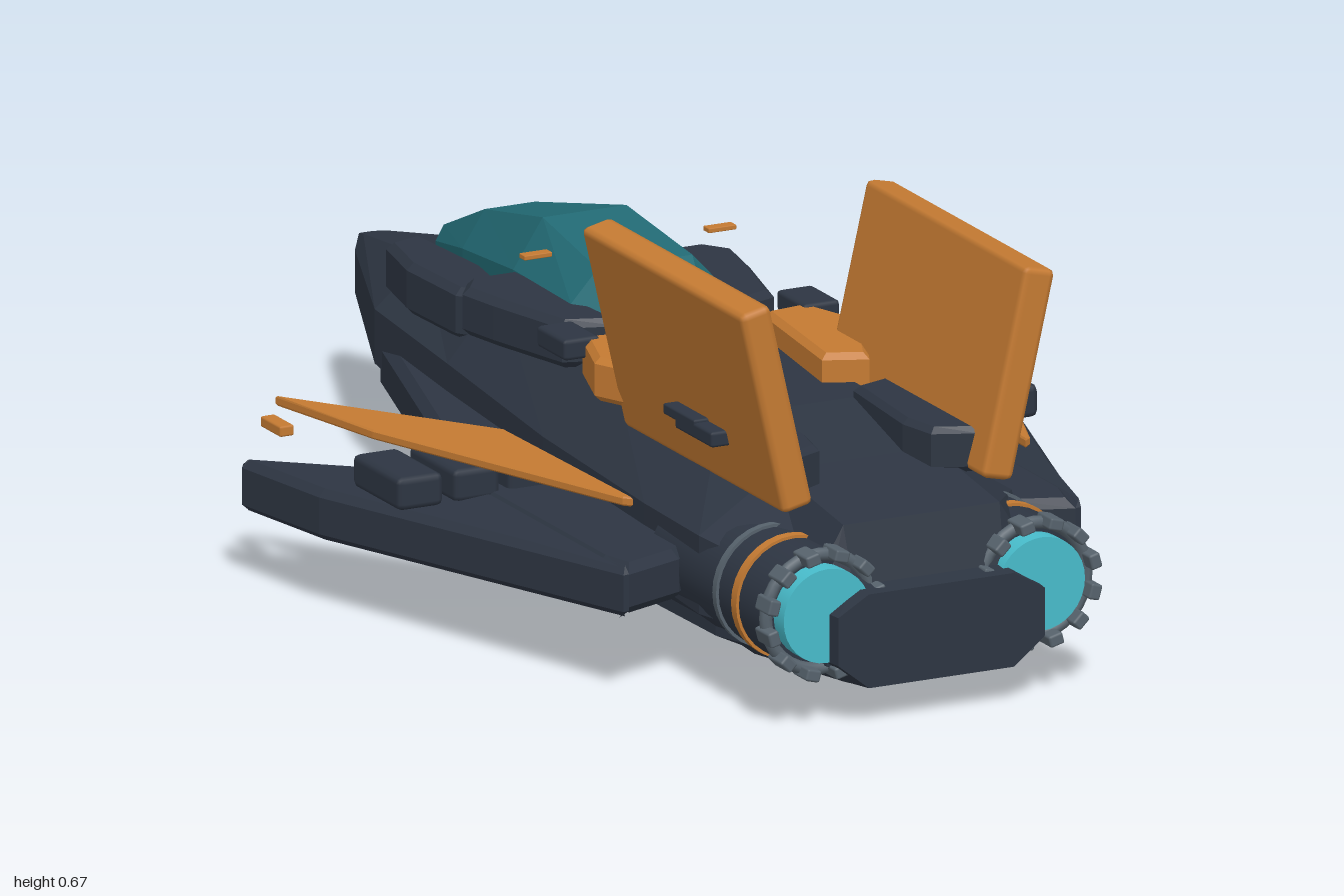
import * as THREE from 'three';
import { RoundedBoxGeometry } from 'three/addons/geometries/RoundedBoxGeometry.js';
import { toCreasedNormals } from 'three/addons/utils/BufferGeometryUtils.js';

const mat = (name, color) => Object.assign(new THREE.MeshStandardMaterial({ color }), { name });

// Loft of closed sections ([x, y] rings, same count) placed along z, flat faceted.
function loft(sections) {
  const pos = [];
  const tri = (a, b, c) => pos.push(...a, ...b, ...c);
  const rings = sections.map(({ z, ring }) => ring.map(([x, y]) => [x, y, z]));
  const n = rings[0].length;
  for (let i = 0; i < rings.length - 1; i++) {
    for (let j = 0; j < n; j++) {
      const k = (j + 1) % n, a = rings[i], b = rings[i + 1];
      tri(a[j], a[k], b[k]);
      tri(a[j], b[k], b[j]);
    }
  }
  const first = rings[0], last = rings[rings.length - 1];
  for (let j = 1; j < n - 1; j++) {
    tri(first[0], first[j + 1], first[j]);
    tri(last[0], last[j], last[j + 1]);
  }
  const g = new THREE.BufferGeometry();
  g.setAttribute('position', new THREE.Float32BufferAttribute(pos, 3));
  g.computeVertexNormals();
  return g;
}

// Eight-sided section, counter-clockwise seen from +z.
const octagon = (z, yb, yl, yh, yt, half, topHalf, botHalf) => ({
  z,
  ring: [[half, yl], [half, yh], [topHalf, yt], [-topHalf, yt],
    [-half, yh], [-half, yl], [-botHalf, yb], [botHalf, yb]],
});

// Flat plate from an [x, z] outline, bevelled, between heights y0 and y1.
function plate(points, y0, y1, bevel) {
  const shape = new THREE.Shape(points.map(([x, z]) => new THREE.Vector2(x, -z)));
  const g = new THREE.ExtrudeGeometry(shape, {
    depth: y1 - y0 - 2 * bevel, bevelEnabled: bevel > 0, bevelThickness: bevel,
    bevelSize: bevel, bevelOffset: -bevel, bevelSegments: 1,
  });
  return g.rotateX(-Math.PI / 2).translate(0, y0 + bevel, 0);
}

export function createModel() {
  const model = new THREE.Group();
  model.name = 'spacecraft';
  const hullMat = mat('dark hull', 0x2d3542);
  const orange = mat('orange panel', 0xc47a32);
  const glass = mat('teal canopy', 0x226a74);
  const glow = mat('cyan glow', 0x48bccb);
  const metal = mat('grey metal', 0x56626c);

  const add = (name, geo, material, parent = model) => {
    const m = new THREE.Mesh(geo, material);
    m.name = name;
    parent.add(m);
    return m;
  };
  const box = (name, size, at, material, parent = model) => {
    const r = Math.min(...size) * 0.2;
    const m = add(name, new RoundedBoxGeometry(...size, 1, r), material, parent);
    m.position.set(...at);
    return m;
  };

  // Main hull, from the pointed nose (-z) to the blunt stern
  add('upperHull', loft([
    octagon(-1, 0.17, 0.19, 0.25, 0.272, 0.018, 0.012, 0.012),
    octagon(-0.97, 0.165, 0.185, 0.255, 0.28, 0.035, 0.02, 0.02),
    octagon(-0.62, 0.12, 0.18, 0.27, 0.345, 0.18, 0.09, 0.1),
    octagon(-0.3, 0.1, 0.16, 0.27, 0.38, 0.215, 0.12, 0.15),
    octagon(0.1, 0.08, 0.15, 0.26, 0.39, 0.25, 0.13, 0.18),
    octagon(0.5, 0.06, 0.14, 0.26, 0.385, 0.275, 0.14, 0.18),
    octagon(0.7, 0.05, 0.13, 0.26, 0.35, 0.28, 0.14, 0.18),
    octagon(0.93, 0.06, 0.12, 0.22, 0.32, 0.2, 0.14, 0.14),
    octagon(0.955, 0.062, 0.11, 0.19, 0.225, 0.19, 0.135, 0.135),
    octagon(1, 0.066, 0.11, 0.19, 0.222, 0.185, 0.13, 0.13),
  ]), hullMat);

  // Keel under the hull
  add('keel', loft([
    octagon(-0.96, 0.11, 0.125, 0.16, 0.19, 0.018, 0.012, 0.012),
    octagon(-0.6, 0.062, 0.1, 0.17, 0.2, 0.14, 0.1, 0.08),
    octagon(-0.15, 0.004, 0.08, 0.18, 0.22, 0.215, 0.18, 0.12),
    octagon(0.3, 0.012, 0.085, 0.18, 0.22, 0.25, 0.2, 0.125),
    octagon(0.7, 0.03, 0.09, 0.18, 0.22, 0.25, 0.2, 0.125),
    octagon(0.96, 0.062, 0.1, 0.17, 0.2, 0.185, 0.15, 0.125),
  ]), hullMat);

  // Cockpit canopy
  add('canopy', loft([
    octagon(-0.69, 0.3, 0.32, 0.345, 0.37, 0.035, 0.02, 0.03),
    octagon(-0.5, 0.32, 0.35, 0.39, 0.45, 0.085, 0.045, 0.08),
    octagon(-0.24, 0.34, 0.38, 0.43, 0.51, 0.128, 0.075, 0.12),
    octagon(-0.03, 0.35, 0.38, 0.43, 0.482, 0.133, 0.085, 0.12),
    octagon(0.1, 0.36, 0.37, 0.385, 0.4, 0.08, 0.05, 0.07),
  ]), glass);

  for (const s of [1, -1]) {
    const side = new THREE.Group();
    side.name = s > 0 ? 'leftSide' : 'rightSide';
    model.add(side);
    const flip = (pts) => pts.map(([x, z]) => [s * x, z]);

    // Forward-swept wing with its strake; it droops outboard of the root
    const droop = (g) => {
      const p = g.attributes.position;
      for (let i = 0; i < p.count; i++) {
        p.setY(i, p.getY(i) - Math.max(0, Math.abs(p.getX(i)) - 0.4) * 0.09);
      }
      g.computeVertexNormals();
      return g;
    };
    add('strake', plate(flip([[0.1, -0.68], [0.18, -0.6], [0.38, 0.06], [0.42, 0.08],
      [0.42, 0.62], [0.4, 0.69], [0.29, 0.65], [0.1, 0.5]]), 0.14, 0.224, 0.015), hullMat, side);
    add('wing', droop(plate(flip([[0.4, 0.09], [0.635, -0.195], [0.645, -0.18],
      [0.615, 0.03], [0.41, 0.69], [0.4, 0.69]]), 0.137, 0.222, 0.012)), hullMat, side);

    // Wing pods, blade and navigation light
    for (const x of [0.335, 0.432, 0.533]) {
      box('wingPod', [0.082, 0.055, 0.165], [s * x, 0.24, 0.145], hullMat, side);
    }
    add('wingBlade', plate(flip([[0.6, -0.15], [0.36, 0.18], [0.352, 0.61], [0.365, 0.6],
      [0.55, 0.09]]), 0.294, 0.31, 0.003), orange, side);
    box('wingLight', [0.026, 0.018, 0.07], [s * 0.61, 0.268, -0.125], s > 0 ? glow : orange, side);

    // Canted tail fin with a small fairing outside
    const fin = box('tailFin', [0.056, 0.35, 0.56], [s * 0.217, 0.5, 0.572], orange, side);
    fin.rotation.z = -s * 0.225;
    box('finFairing', [0.04, 0.026, 0.13], [s * 0.235, 0.413, 0.63], hullMat, side);
    box('finFairing', [0.04, 0.018, 0.11], [s * 0.235, 0.422, 0.58], hullMat, side);

    // Raised deck panels
    add('shoulderPanel', plate(flip([[0.1, -0.62], [0.17, -0.6], [0.195, -0.48], [0.19, -0.32],
      [0.15, -0.26], [0.08, -0.3]]), 0.3, 0.386, 0.012), hullMat, side);
    add('cockpitPanel', plate(flip([[0.12, -0.24], [0.21, -0.24], [0.245, -0.19], [0.23, -0.11],
      [0.19, 0.05], [0.1, 0.08]]), 0.35, 0.43, 0.012), hullMat, side);
    box('deckPod', [0.065, 0.035, 0.1], [s * 0.215, 0.42, 0.12], hullMat, side);
    add('deckStripe', plate(flip([[0.12, 0.15], [0.2, 0.14], [0.24, 0.26], [0.16, 0.44],
      [0.09, 0.41]]), 0.36, 0.433, 0.01), orange, side);
    add('rearDeckPanel', plate(flip([[0.1, 0.5], [0.17, 0.48], [0.17, 0.8], [0.1, 0.77],
      [0.085, 0.7]]), 0.33, 0.405, 0.01), hullMat, side);
    box('sensor', [0.05, 0.008, 0.02], [s * 0.165, 0.5, -0.09], orange, side);
    if (s < 0) box('sensor', [0.03, 0.008, 0.02], [-0.155, 0.5, 0.155], orange, side);

    // Engine: casing, bands, glowing nozzle and clamps
    const engine = new THREE.Group();
    engine.name = 'engine';
    engine.position.set(s * 0.192, 0.188, 0);
    side.add(engine);
    const drum = (name, r, z0, z1, material) => {
      const g = new THREE.CylinderGeometry(r, r, z1 - z0, 32).rotateX(Math.PI / 2);
      add(name, toCreasedNormals(g, 0.6), material, engine).position.z = (z0 + z1) / 2;
    };
    drum('casing', 0.098, 0.55, 0.94, hullMat);
    drum('frontBand', 0.103, 0.775, 0.788, metal);
    drum('orangeBand', 0.103, 0.84, 0.858, orange);
    drum('nozzle', 0.078, 0.9, 0.975, glow);
    const ring = new THREE.TorusGeometry(0.095, 0.011, 8, 32);
    add('nozzleRing', ring, metal, engine).position.z = 0.945;
    for (let i = 0; i < 12; i++) {
      const a = (i / 12) * Math.PI * 2 + 0.26;
      const clamp = box('clamp', [0.02, 0.026, 0.05],
        [Math.cos(a) * 0.099, Math.sin(a) * 0.099, 0.955], metal, engine);
      clamp.rotation.z = a;
    }
  }
  return model;
}
